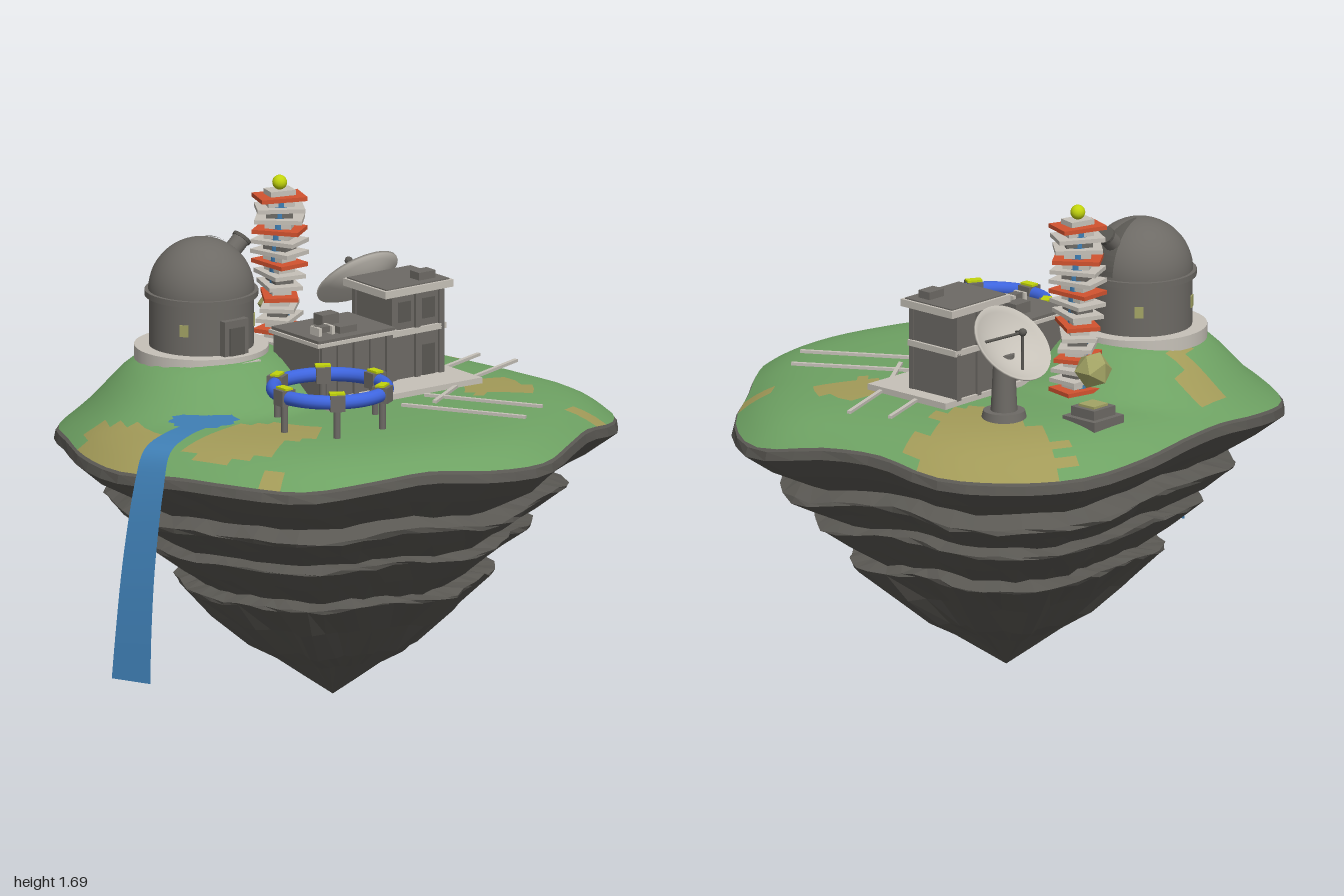
import * as THREE from 'three';

const paint = (name, color) => {
  const m = new THREE.MeshStandardMaterial({ color });
  m.name = name;
  return m;
};

export function createModel() {
  const grass = paint('grass', 0x6ea263), dry = paint('dryGrass', 0xa29a58);
  const rock = paint('rock', 0x5a5853), steel = paint('darkGrey', 0x6d6a65);
  const pale = paint('paleConcrete', 0xc6c1b8), water = paint('water', 0x3f7fb5);
  const blue = paint('ringBlue', 0x3f66e0), red = paint('signalOrange', 0xd2532f);
  const lime = paint('beaconLime', 0xc2d40c), olive = paint('olive', 0xa3a465);
  water.side = THREE.DoubleSide;
  for (const m of [rock, olive]) m.flatShading = true;

  const model = new THREE.Group();
  model.name = 'floatingIsland';
  const add = (name, geo, mat, x = 0, y = 0, z = 0, parent = model) => {
    const m = new THREE.Mesh(geo, mat);
    m.name = name;
    m.position.set(x, y, z);
    parent.add(m);
    return m;
  };
  const group = (name, x = 0, y = 0, z = 0) => {
    const g = new THREE.Group();
    g.name = name;
    g.position.set(x, y, z);
    model.add(g);
    return g;
  };
  // box given by its bottom and top heights
  const box = (name, mat, x, z, w, d, y0, y1, parent) =>
    add(name, new THREE.BoxGeometry(w, y1 - y0, d), mat, x, (y0 + y1) / 2, z, parent);
  const drum = (name, mat, x, z, r0, r1, y0, y1, parent, n = 32) =>
    add(name, new THREE.CylinderGeometry(r1, r0, y1 - y0, n), mat, x, (y0 + y1) / 2, z, parent);
  const rod = (name, mat, a, b, r, parent) => {
    const d = b.clone().sub(a), mid = a.clone().add(b).multiplyScalar(0.5);
    const m = add(name, new THREE.CylinderGeometry(r, r, d.length(), 14), mat, mid.x, mid.y, mid.z, parent);
    m.quaternion.setFromUnitVectors(new THREE.Vector3(0, 1, 0), d.normalize());
    return m;
  };
  const V = (x, y, z) => new THREE.Vector3(x, y, z);
  let seed = 7;
  const rand = () => (seed = (seed * 16807) % 2147483647) / 2147483647 - 0.5;

  // outline radius every 15 degrees, from +x towards +z
  const radii = [0.88, 0.97, 0.935, 0.85, 0.845, 0.875, 0.85, 0.81, 0.847, 0.9, 0.89, 0.89,
    0.93, 0.93, 0.925, 0.955, 0.9, 0.845, 0.85, 0.9, 0.955, 0.965, 0.945, 0.865];
  const CX = 0.06;
  const radius = (a) => {
    const t = (a / (Math.PI * 2)) * 24, i = Math.floor(t), f = t - i;
    const p = (k) => radii[(i + k + 24) % 24];
    const [p0, p1, p2, p3] = [p(-1), p(0), p(1), p(2)];
    return p1 + 0.5 * f * (p2 - p0 + f * (2 * p0 - 5 * p1 + 4 * p2 - p3 + f * (3 * (p1 - p2) + p3 - p0)));
  };
  const wobble = (a) => -0.4 * (radius(a) - 0.895);

  // closed rings joined row by row; pick() sorts faces into two materials
  const loft = (rows, cols, point, pick = () => false) => {
    const pos = [], sets = [[], []];
    for (let i = 0; i < rows; i++)
      for (let j = 0; j < cols; j++) pos.push(...point(i, (j / cols) * Math.PI * 2));
    for (let i = 0; i < rows - 1; i++)
      for (let j = 0; j < cols; j++) {
        const k = (j + 1) % cols, a = i * cols + j, b = i * cols + k;
        const set = sets[pick((pos[a * 3] + pos[(b + cols) * 3]) / 2, (pos[a * 3 + 2] + pos[(b + cols) * 3 + 2]) / 2) ? 1 : 0];
        set.push(a, b, a + cols, b, b + cols, a + cols);
      }
    const g = new THREE.BufferGeometry();
    g.setAttribute('position', new THREE.Float32BufferAttribute(pos, 3));
    g.setIndex([...sets[0], ...sets[1]]);
    g.addGroup(0, sets[0].length, 0);
    g.addGroup(sets[0].length, sets[1].length, 1);
    g.computeVertexNormals();
    return g;
  };

  // layered rock: [scale, height]
  const strata = [[0.96, 0.925], [0.992, 0.915], [1, 0.885], [0.89, 0.81], [0.74, 0.735], [0.82, 0.705],
    [0.815, 0.692], [0.73, 0.64], [0.635, 0.585], [0.705, 0.575], [0.7, 0.565], [0.6, 0.495], [0.49, 0.425],
    [0.57, 0.415], [0.565, 0.405], [0.43, 0.3], [0.3, 0.19], [0.2, 0.135], [0.09, 0.06], [0, 0]];
  add('rockUnderside', loft(strata.length, 60, (i, a) => {
    const [s, y] = strata[i], jit = i > 2 && i < 19 ? 0.022 : 0.004;
    const r = radius(a) * s * (1 + rand() * jit + (i > 14 ? 0.07 * Math.sin(a * 11) : 0));
    return [CX - 0.01 * (1 - s) + r * Math.cos(a), y + wobble(a) * s * s + (i > 2 && i < 17 ? rand() * 0.012 : 0),
      -0.02 * (1 - s) + r * Math.sin(a)];
  }), rock);

  // grassy top with a mound and dry patches [x, z, rx, rz]
  const patches = [[-0.76, -0.12, 0.11, 0.22], [-0.5, 0.24, 0.22, 0.14], [-0.34, 0.3, 0.1, 0.09],
    [-0.2, -0.65, 0.06, 0.1], [0.66, -0.55, 0.2, 0.24], [0.55, -0.33, 0.13, 0.13], [0.78, -0.4, 0.12, 0.12],
    [0.56, 0.2, 0.11, 0.11], [-0.62, 0.52, 0.05, 0.06], [0.73, 0.51, 0.07, 0.06]];
  const ground = (s, a, x, z) => {
    const edge = 0.925 + wobble(a);
    const hill = 1 - THREE.MathUtils.smoothstep(Math.hypot(x + 0.25, z + 0.35), 0.2, 0.46);
    return edge + (1.026 - edge) * (1 - s ** 7) + 0.145 * hill * (1 - s ** 7);
  };
  add('grassTop', loft(25, 72, (i, a) => {
    const s = i / 24, r = radius(a) * s * 0.985;
    const x = CX + r * Math.cos(a), z = r * Math.sin(a);
    return [x, ground(s, a, x, z), z];
  }, (x, z) => patches.some(([px, pz, rx, rz]) => Math.hypot((x - px) / rx, (z - pz) / rz) < 1 + rand() * 0.25)),
  [grass, dry]);

  // pond, stream and waterfall
  const pond = new THREE.Shape();
  for (let i = 0; i < 28; i++) {
    const a = (i / 28) * Math.PI * 2, r = 1 + 0.09 * Math.sin(i * 2.3);
    pond[i ? 'lineTo' : 'moveTo'](0.118 * r * Math.cos(a), 0.105 * r * Math.sin(a));
  }
  add('pond', new THREE.ShapeGeometry(pond), water, -0.525, 1.042, 0.025).rotation.x = -Math.PI / 2;
  const flow = new THREE.CatmullRomCurve3([V(-0.52, 1.041, 0.05), V(-0.7, 1.038, 0.11), V(-0.82, 1.005, 0.155),
    V(-0.87, 0.9, 0.178), V(-0.925, 0.65, 0.195), V(-0.955, 0.42, 0.205), V(-0.97, 0.25, 0.21)]);
  const fall = new THREE.PlaneGeometry(1, 1, 1, 28), fp = fall.attributes.position;
  for (let i = 0; i < fp.count; i++) {
    const t = Math.floor(i / 2) / 28, side = i % 2 ? 1 : -1, w = 0.038 + 0.037 * t;
    const p = flow.getPoint(t);
    fp.setXYZ(i, p.x + side * w * 0.37, p.y, p.z + side * w * 0.93);
  }
  fall.computeVertexNormals();
  add('waterfall', fall, water);

  // domed observatory
  const obs = group('observatory', -0.25, 0, -0.35);
  drum('terrace', pale, 0, 0, 0.225, 0.225, 1.14, 1.185, obs, 40);
  drum('drumWall', steel, 0, 0, 0.175, 0.175, 1.18, 1.36, obs, 40);
  drum('domeRing', steel, 0, 0, 0.19, 0.19, 1.355, 1.375, obs, 40);
  add('dome', new THREE.SphereGeometry(0.178, 40, 16, 0, Math.PI * 2, 0, Math.PI / 2), steel, 0, 1.372, 0, obs);
  add('domeSlit', new THREE.SphereGeometry(0.182, 8, 14, Math.PI - 0.22, 0.44, 0.1, 1.4), rock, 0, 1.372, 0, obs);
  rod('telescope', steel, V(0.09, 1.45, 0), V(0.172, 1.525, 0), 0.03, obs);
  rod('telescopeMouth', rock, V(0.165, 1.518, 0), V(0.173, 1.526, 0), 0.034, obs);
  box('porch', steel, 0, 0.165, 0.1, 0.06, 1.18, 1.305, obs);
  box('door', rock, 0, 0.197, 0.06, 0.006, 1.185, 1.28, obs);
  for (const a of [0.9, 2.3, 3.7, 5.3]) {
    const w = box('drumWindow', olive, 0.175 * Math.sin(a), 0.175 * Math.cos(a), 0.03, 0.008, 1.25, 1.29, obs);
    w.rotation.y = a;
  }
  for (let i = 0; i < 6; i++)
    box('step', pale, 0.035, 0.225 + i * 0.02, 0.075, 0.016, 1.135 - i * 0.02, 1.165 - i * 0.02, obs);

  // laboratory: low wing, tall block, trims and roof units
  const lab = group('laboratory');
  box('paving', pale, 0.233, -0.032, 0.635, 0.355, 1.02, 1.045, lab);
  box('lowWing', steel, 0.09, -0.07, 0.31, 0.25, 1.04, 1.23, lab);
  box('lowRoofTrim', pale, 0.09, -0.07, 0.335, 0.275, 1.225, 1.237, lab);
  box('lowRoof', steel, 0.09, -0.07, 0.32, 0.26, 1.235, 1.247, lab);
  box('tallBlock', steel, 0.385, -0.1, 0.215, 0.2, 1.04, 1.34, lab);
  box('floorBand', pale, 0.385, -0.1, 0.235, 0.22, 1.195, 1.215, lab);
  box('tallRoofTrim', pale, 0.385, -0.1, 0.285, 0.235, 1.335, 1.36, lab);
  box('tallRoof', steel, 0.385, -0.1, 0.265, 0.215, 1.35, 1.364, lab);
  for (let i = 0; i < 5; i++) box('pilaster', steel, -0.05 + i * 0.068, 0.055, 0.02, 0.02, 1.04, 1.23, lab);
  for (const x of [0.285, 0.385, 0.485])
    for (const z of [-0.2, 0]) box('cornerPost', steel, x, z, 0.02, 0.02, 1.04, 1.34, lab);
  for (const x of [0.335, 0.435]) box('tallWindow', rock, x, 0.001, 0.05, 0.006, 1.24, 1.31, lab);
  box('entrance', rock, 0.435, 0.001, 0.05, 0.006, 1.045, 1.15, lab);
  for (const [x, z, y, h] of [[0.095, -0.115, 1.24, 0.045], [0.085, -0.005, 1.24, 0.03], [0.45, -0.05, 1.36, 0.03]])
    box('roofUnit', steel, x, z, 0.07, 0.05, y, y + h, lab);
  for (const x of [-0.025, 0.03]) box('skylightPost', pale, x, -0.015, 0.012, 0.05, 1.24, 1.275, lab);
  box('skylightTop', steel, 0.003, -0.015, 0.055, 0.03, 1.255, 1.275, lab);

  // thin paths
  for (const [x0, z0, x1, z1] of [[0.15, 0.23, 0.38, 0.61], [0.29, 0.17, 0.51, 0.53], [0.26, 0.265, 0.44, 0.145],
    [0.54, -0.07, 0.76, -0.15], [0.54, 0.09, 0.81, -0.01]]) {
    const len = Math.hypot(x1 - x0, z1 - z0);
    box('path', pale, (x0 + x1) / 2, (z0 + z1) / 2, len, 0.014, 1.026, 1.036).rotation.y = -Math.atan2(z1 - z0, x1 - x0);
  }

  // twisting signal tower
  const tower = group('signalTower', 0.135, 0, -0.425);
  drum('towerCore', water, 0, 0, 0.035, 0.035, 1.02, 1.62, tower, 10);
  for (let i = 0; i < 16; i++) {
    const y = 1.045 + i * 0.0375, turn = i * 0.2 - 0.2;
    box('towerPlate', i % 3 === 0 ? red : pale, 0, 0, 0.16, 0.115, y, y + 0.014, tower).rotation.y = turn;
    box('towerBlock', i % 3 === 1 ? steel : pale, 0, 0, 0.09, 0.065, y + 0.016, y + 0.034, tower).rotation.y = turn + 0.1;
  }
  add('beacon', new THREE.SphereGeometry(0.025, 16, 12), lime, 0, 1.665, 0, tower);

  // radio dish facing up and back
  drum('dishFoot', steel, 0.47, -0.4, 0.078, 0.07, 1.01, 1.045);
  drum('dishColumn', steel, 0.47, -0.4, 0.045, 0.035, 1.04, 1.24);
  const dish = group('radioDish', 0.47, 1.245, -0.4);
  dish.rotation.x = -Math.PI / 4;
  const bowl = [];
  for (let i = 0; i <= 8; i++) bowl.push(new THREE.Vector2(0.148 * i / 8, 0.05 * (i / 8) ** 2));
  for (let i = 8; i >= 0; i--) bowl.push(new THREE.Vector2(0.148 * i / 8, 0.008 + 0.05 * (i / 8) ** 2));
  add('bowl', new THREE.LatheGeometry(bowl, 36), pale, 0, 0, 0, dish);
  for (let k = 0; k < 3; k++) {
    const a = (k / 3) * Math.PI * 2 + 0.5;
    rod('feedLeg', rock, V(0.09 * Math.cos(a), 0.025, 0.09 * Math.sin(a)), V(0, 0.12, 0), 0.005, dish);
  }
  add('feed', new THREE.SphereGeometry(0.014, 10, 8), rock, 0, 0.12, 0, dish);

  // faceted crystal on a stepped plinth
  box('plinthBase', steel, 0.275, -0.625, 0.145, 0.145, 0.985, 1.03);
  box('plinthStep', steel, 0.275, -0.625, 0.105, 0.105, 1.03, 1.062);
  box('plinthTop', olive, 0.275, -0.625, 0.07, 0.07, 1.062, 1.07);
  add('crystal', new THREE.IcosahedronGeometry(0.065, 0), olive, 0.275, 1.185, -0.625);

  // blue ring on six clamped legs
  const ring = group('ringMonument', -0.175, 0, 0.26);
  add('ring', new THREE.TorusGeometry(0.19, 0.024, 14, 60), blue, 0, 1.145, 0, ring).rotation.x = Math.PI / 2;
  for (let k = 0; k < 6; k++) {
    const arm = new THREE.Group();
    arm.name = 'ringSupport';
    arm.rotation.y = (k * Math.PI) / 3;
    ring.add(arm);
    drum('leg', steel, 0.19, 0, 0.012, 0.012, 1.01, 1.13, arm, 10);
    box('clamp', steel, 0.19, 0, 0.056, 0.05, 1.118, 1.172, arm);
    box('clampTop', lime, 0.19, 0, 0.03, 0.052, 1.172, 1.179, arm);
  }
  return model;
}
